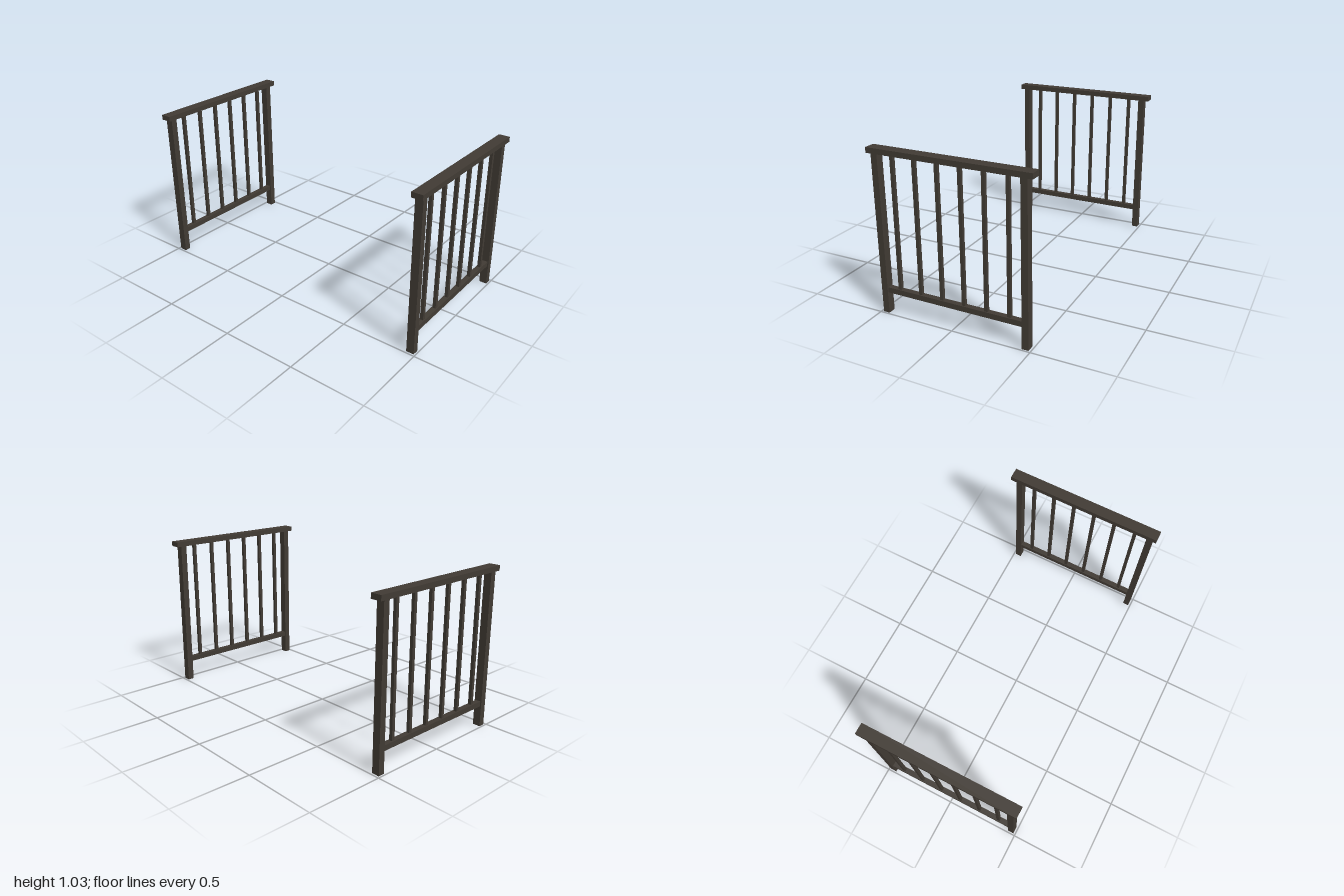
import * as THREE from 'three';

export function createModel() {
  const darkWood = new THREE.MeshStandardMaterial({ color: 0x413b34 });
  const model = new THREE.Group();
  model.name = 'railingPair';

  // Box given by its extents; lean shifts the top towards +z
  function addBox(parent, name, width, y0, y1, z0, z1, lean = 0) {
    const geo = new THREE.BoxGeometry(width, y1 - y0, z1 - z0);
    geo.translate(0, (y0 + y1) / 2, (z0 + z1) / 2);
    const pos = geo.attributes.position;
    for (let i = 0; i < pos.count; i++) {
      if (pos.getY(i) > (y0 + y1) / 2) pos.setZ(i, pos.getZ(i) + lean);
    }
    geo.computeVertexNormals();
    const mesh = new THREE.Mesh(geo, darkWood);
    mesh.name = name;
    parent.add(mesh);
  }

  for (const [side, x] of [['left', 0.964], ['right', -0.964]]) {
    const railing = new THREE.Group();
    railing.name = side + 'Railing';
    railing.position.x = x;

    // Handrail and bottom rail
    addBox(railing, 'handrail', 0.072, 0.999, 1.032, -0.516, 0.516);
    addBox(railing, 'bottomRail', 0.035, 0.134, 0.168, -0.455, 0.455);

    // End posts, leaning very slightly forward
    addBox(railing, 'frontPost', 0.05, 0, 1, 0.445, 0.486, 0.005);
    addBox(railing, 'backPost', 0.05, 0, 1, -0.486, -0.445, 0.005);

    // Evenly spaced balusters
    for (let i = 0; i < 6; i++) {
      const z = 0.365 - i * 0.145;
      addBox(railing, 'baluster' + (i + 1), 0.021, 0.16, 1.005, z - 0.0105, z + 0.0105);
    }
    model.add(railing);
  }
  return model;
}
